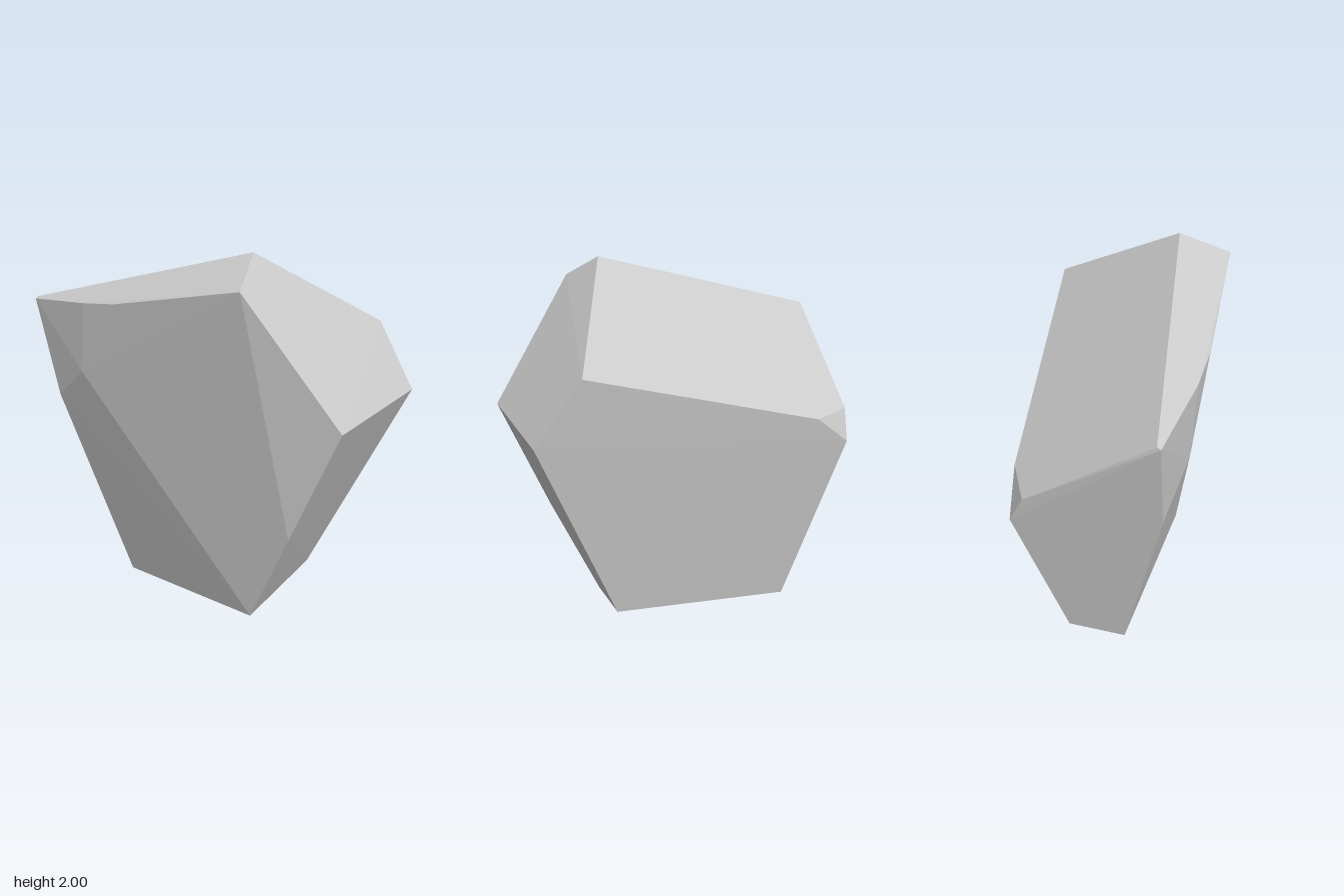
import * as THREE from 'three';
import { ConvexGeometry } from 'three/addons/geometries/ConvexGeometry.js';

// Corners of the faceted boulder, grouped by where they lie
const corners = {
  topRidge: [[0.22, 2.0, 0.35], [0.2, 1.88, 0.615], [-0.46, 1.72, 0.31], [-0.65, 1.69, 0.2]],
  rightTip: [[-0.99, 1.645, -0.075], [-1.0, 1.635, -0.06], [-0.94, 1.42, -0.05], [-0.88, 1.12, -0.005]],
  frontFace: [[-0.69, 1.32, 0.165], [0.44, 0.66, 0.565]],
  leftShoulder: [[0.67, 1.27, 0.665], [0.99, 1.27, 0], [0.81, 1.58, -0.14]],
  backTip: [[-0.66, 1.19, -0.605], [-0.4, 1.19, -0.605], [-0.6, 1.03, -0.665]],
  foot: [[0.24, 0.1, 0.41], [0.5, 0.22, 0], [-0.54, 0, -0.1], [-0.45, 0.07, -0.39]],
};

export function createModel() {
  const model = new THREE.Group();
  model.name = 'boulder';

  // The stone is the convex shell around its corners
  const points = Object.values(corners).flat().map((p) => new THREE.Vector3(...p));
  const rock = new THREE.Mesh(
    new ConvexGeometry(points),
    new THREE.MeshStandardMaterial({ color: 0xcccccc, flatShading: true }),
  );
  rock.name = 'rock';
  model.add(rock);
  return model;
}
